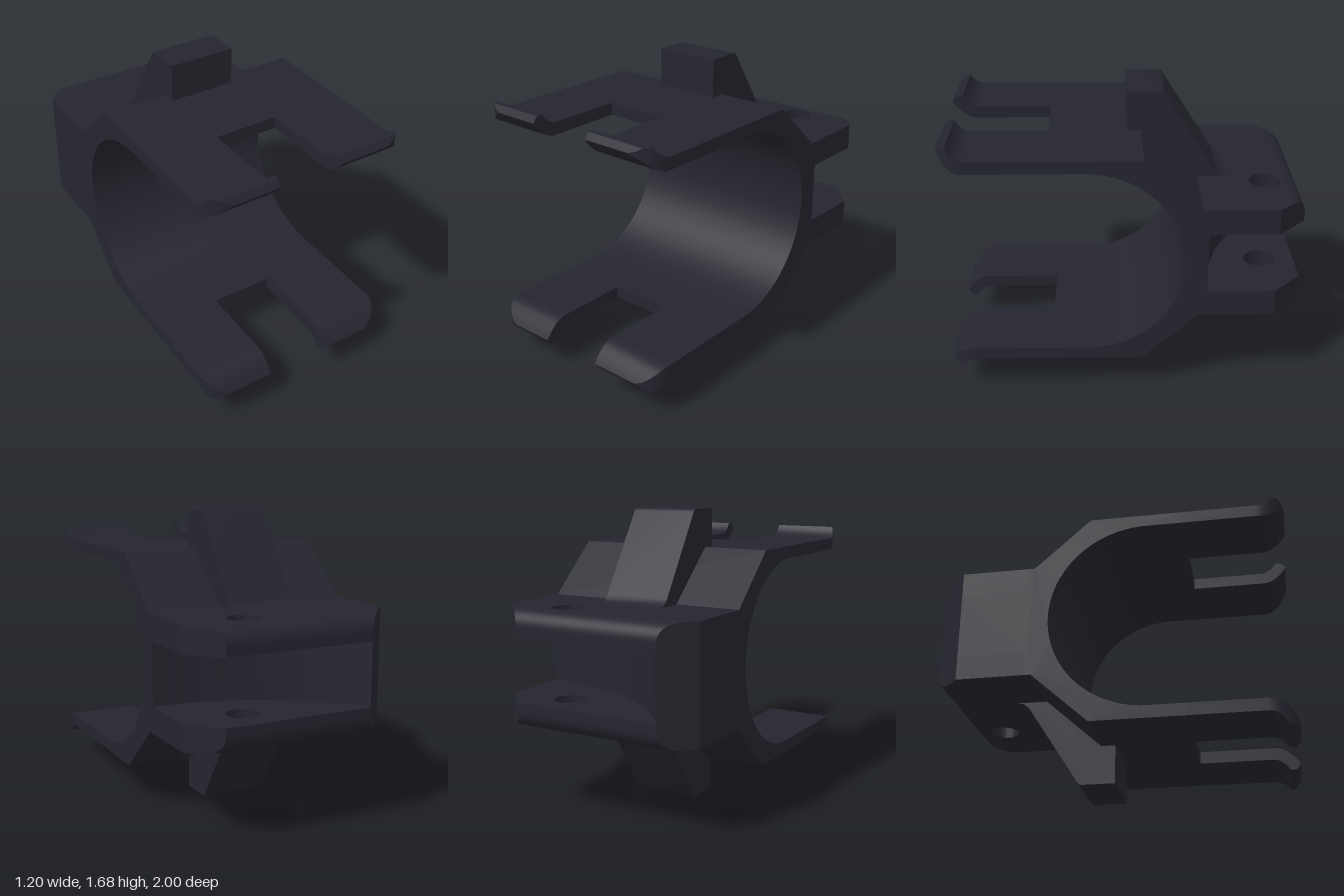
import * as THREE from 'three';
import { toCreasedNormals } from 'three/addons/utils/BufferGeometryUtils.js';

const MID = 0.85; // height of the mirror plane between upper and lower halves

export function createModel() {
  const model = new THREE.Group();
  const plastic = new THREE.MeshStandardMaterial({ color: 0x25252f });
  plastic.name = 'darkPlastic';

  const add = (name, geometry) => {
    const mesh = new THREE.Mesh(toCreasedNormals(geometry, 0.6), plastic);
    mesh.name = name;
    model.add(mesh);
  };
  const shapeOf = (pts) => new THREE.Shape(pts.map(([a, b]) => new THREE.Vector2(a, b)));

  // Side profile (z, y) extruded across x
  const acrossX = (shape, x0, x1) =>
    new THREE.ExtrudeGeometry(shape, { depth: x1 - x0, bevelEnabled: false, curveSegments: 48 })
      .rotateY(-Math.PI / 2).translate(x1, 0, 0);
  // Plan outline (x, -z) extruded upward
  const upward = (shape, height, steps = 1) =>
    new THREE.ExtrudeGeometry(shape, { depth: height, steps, bevelEnabled: false, curveSegments: 32 })
      .rotateX(-Math.PI / 2);

  // Clamp body with its round inner seat
  const body = shapeOf([
    [0.42, 1.4], [0.42, 1.47], [-0.1, 1.47], [-0.42, 1.18], [-0.46, 1.18], [-0.46, 0.52],
    [-0.42, 0.52], [-0.1, 0.23], [0.42, 0.23], [0.42, 0.3],
  ]);
  body.absarc(0.215, MID, 0.55, -Math.PI / 2, Math.PI / 2, true);
  add('clampBody', acrossX(body, -0.6, 0.6));

  // Prongs: cross-sections along z, [z, underside y, top y], curling outward at the tip
  const sections = [
    [0.42, 1.4, 1.47], [0.84, 1.4, 1.47], [0.87, 1.4, 1.474], [0.9, 1.408, 1.49],
    [0.922, 1.42, 1.512], [0.937, 1.432, 1.535], [0.955, 1.447, 1.535],
    [0.972, 1.465, 1.535], [0.987, 1.483, 1.517], [0.999, 1.5, 1.502],
  ];
  function prong(side, inner, up) {
    const pos = [], index = [];
    for (const [z, yb, yt] of sections) {
      const outer = 0.45 + Math.sqrt(0.0225 - Math.max(0, z - 0.85) ** 2);
      for (const [x, y] of [[inner, yb], [outer, yb], [outer, yt], [inner, yt]]) {
        pos.push(side * x, MID + up * (y - MID), z);
      }
    }
    const tri = (a, b, c) => (side * up > 0 ? index.push(a, b, c) : index.push(a, c, b));
    const last = (sections.length - 1) * 4;
    for (let i = 0; i < last; i += 4) {
      for (let k = 0; k < 4; k++) {
        const a = i + k, b = i + ((k + 1) % 4);
        tri(a, b, b + 4);
        tri(a, b + 4, a + 4);
      }
    }
    tri(0, 2, 1);
    tri(0, 3, 2);
    tri(last, last + 1, last + 2);
    tri(last, last + 2, last + 3);
    const g = new THREE.BufferGeometry();
    g.setAttribute('position', new THREE.Float32BufferAttribute(pos, 3));
    g.setIndex(index);
    return g;
  }

  // Rear lug plate with bolt hole, cut corners and a rounded outer back edge
  function lugPlate(up) {
    const plan = shapeOf([
      [-0.6, 0.46], [0.6, 0.46], [0.6, 0.84], [0.44, 1], [-0.44, 1], [-0.6, 0.84],
    ]);
    const hole = new THREE.Path();
    hole.absarc(0.235, 0.8, 0.09, 0, Math.PI * 2, true);
    plan.holes.push(hole);
    const g = upward(plan, 0.15, 15);
    const p = g.attributes.position;
    for (let i = 0; i < p.count; i++) {
      const h = p.getY(i);
      if (p.getZ(i) < -0.99) {
        const t = Math.max(0, (up > 0 ? h : 0.15 - h) - 0.05);
        const shift = 0.098 - 0.98 * Math.sqrt(Math.max(0, 0.01 - t * t));
        p.setX(i, p.getX(i) + Math.sign(p.getX(i)) * shift);
        p.setZ(i, -1 + shift);
      }
      p.setY(i, h + (up > 0 ? 1.03 : 0.52));
    }
    return g;
  }

  // Gusset rib behind each arm (z, y)
  const rib = [
    [-0.02, 1.42], [-0.02, 1.69], [-0.21, 1.69], [-0.222, 1.686], [-0.232, 1.675],
    [-0.52, 1.222], [-0.535, 1.203], [-0.56, 1.187], [-0.6, 1.18], [-0.6, 1.16], [-0.42, 1.16],
  ];

  for (const up of [1, -1]) {
    const prefix = up > 0 ? 'upper' : 'lower';
    add(prefix + 'LeftProng', prong(1, 0.175, up));
    add(prefix + 'RightProng', prong(-1, 0.2, up));
    add(prefix + 'LugPlate', lugPlate(up));
    const profile = shapeOf(rib.map(([z, y]) => [z, MID + up * (y - MID)]));
    add(prefix + 'Rib', acrossX(profile, -0.215, 0.175));
  }

  // Curved web between the lug plates, leaving the slot open to the back and left
  const web = shapeOf([[-0.6, 0.84], [-0.6, 0.46]]);
  const R = 1.27, cy = 0.46 + R;
  web.absarc(0.6, cy, R, -Math.PI / 2, Math.atan2(1 - cy, -1.04), true);
  add('lugWeb', upward(web, 0.37).translate(0, 0.66, 0));

  return model;
}
